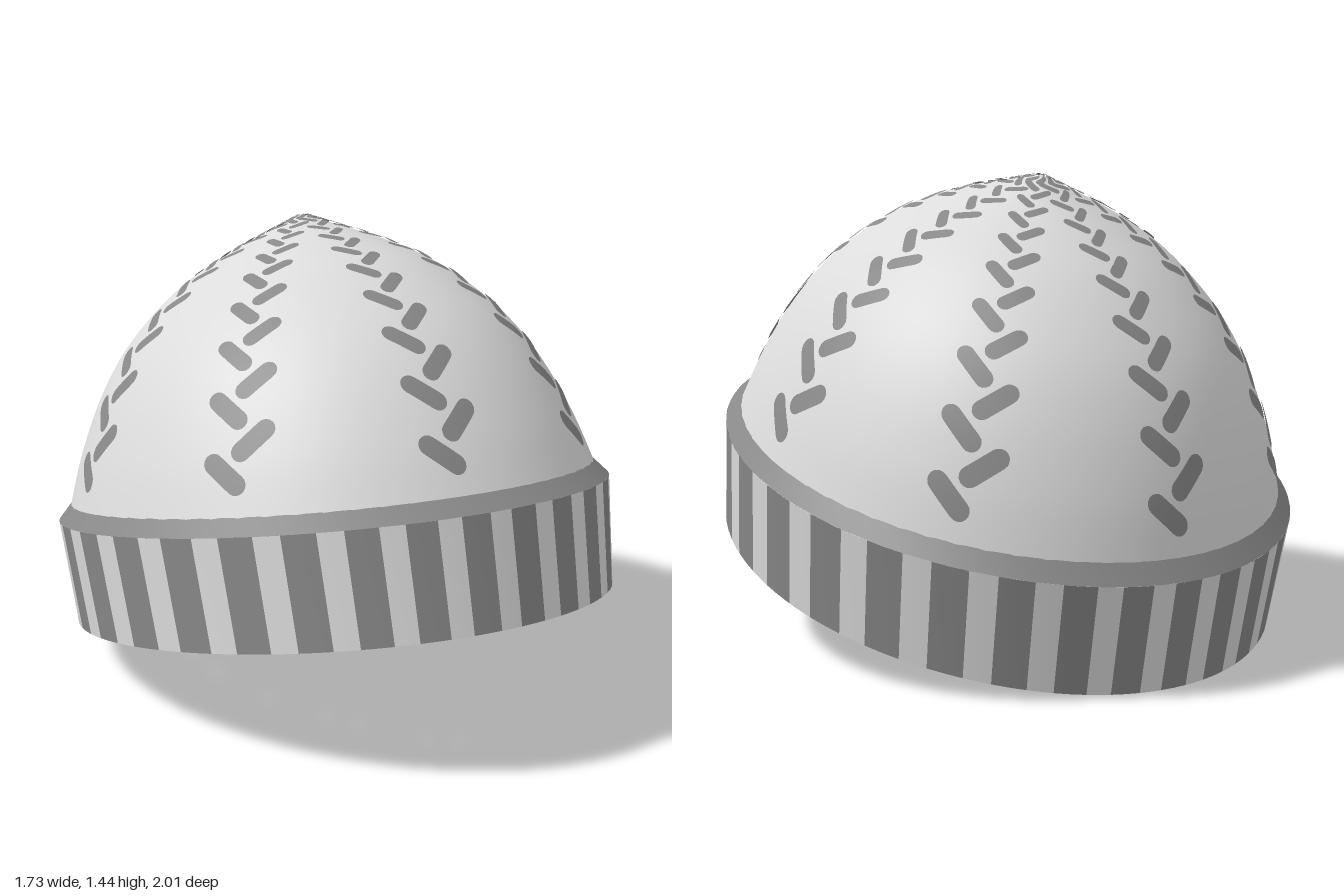
import * as THREE from 'three';
import { mergeGeometries } from 'three/addons/utils/BufferGeometryUtils.js';

const WIDTH = 0.88; // dome width relative to its depth

// Build an indexed grid surface from rows of [x, y, z] points (columns run counter-clockwise)
function grid(rows) {
  const n = rows[0].length, index = [];
  for (let j = 0; j < rows.length - 1; j++) {
    for (let i = 0; i < n - 1; i++) {
      const a = j * n + i, b = a + 1, c = a + n, d = c + 1;
      index.push(a, b, c, b, d, c);
    }
  }
  const g = new THREE.BufferGeometry();
  g.setAttribute('position', new THREE.Float32BufferAttribute(rows.flat(2), 3));
  g.setIndex(index);
  g.computeVertexNormals();
  return g;
}

// Arc of an elliptical ring between two angles (0 = front)
function arc([rx, y, rz], from, to, steps) {
  return Array.from({ length: steps + 1 }, (_, i) => {
    const a = from + (to - from) * i / steps;
    return [rx * Math.sin(a), y, rz * Math.cos(a)];
  });
}

export function createModel() {
  const material = (name, color) => {
    const m = new THREE.MeshStandardMaterial({ color, side: THREE.DoubleSide });
    m.name = name;
    return m;
  };
  const light = material('light wool', 0xdcdcdc);
  const grey = material('grey wool', 0x888888);

  const hat = new THREE.Group();
  hat.name = 'hat';
  const add = (name, geometry, mat) => {
    const m = new THREE.Mesh(geometry, mat);
    m.name = name;
    hat.add(m);
  };

  // Dome: pointed profile, squeezed sideways
  const profile = new THREE.SplineCurve([
    [0.94, 0.37], [0.875, 0.545], [0.775, 0.735], [0.65, 0.892], [0.467, 1.04],
    [0.28, 1.135], [0.13, 1.192], [0, 1.24],
  ].map(p => new THREE.Vector2(...p)));
  const dome = new THREE.LatheGeometry(profile.getSpacedPoints(32), 64);
  dome.scale(WIDTH, 1, 1);
  add('dome', dome, light);

  // Point on the dome at an arc length from its hem, lifted along the normal
  const total = profile.getLength();
  const onDome = (angle, s, lateral, lift) => {
    const t = THREE.MathUtils.clamp(s / total, 0, 1);
    const p = profile.getPointAt(t), d = profile.getTangentAt(t);
    const a = angle + lateral / Math.max(p.x * 0.93, 0.06);
    const r = p.x + d.y * lift;
    return [r * Math.sin(a) * WIDTH, p.y - d.x * lift, r * Math.cos(a)];
  };

  // One rounded stitch laid on the dome
  const samples = [-1, -0.97, -0.88, -0.75, -0.6, -0.3, 0, 0.3, 0.6, 0.75, 0.88, 0.97, 1];
  const stitch = (angle, s, side, k, lift) => {
    const half = 0.08 * k, radius = 0.031 * k, tilt = side * 0.84;
    const sin = Math.sin(tilt), cos = Math.cos(tilt);
    return grid(samples.map(q => {
      const u = q * half, e = Math.max(0, Math.abs(u) - (half - radius));
      const w = Math.sqrt(Math.max(0, radius * radius - e * e));
      return [-w, 0, w].map(v =>
        onDome(angle, s + u * cos - v * sin, side * 0.043 * k + u * sin + v * cos, lift));
    }));
  };

  // Eight seams of paired stitches running up to the tip, shown inside and out
  const stitches = [];
  for (let m = 0; m < 8; m++) {
    let side = -1, s = 0.14;
    while (s < total - 0.03) {
      const k = 0.35 + 0.65 * Math.min(1, profile.getPointAt(s / total).x / 0.87);
      for (const lift of [0.006, -0.006]) stitches.push(stitch(m * Math.PI / 4, s, side, k, lift));
      s += 0.097 * k;
      side = -side;
    }
  }
  add('seamStitches', mergeGeometries(stitches), grey);

  // Cuff wall: alternating ribs, slightly wider at the sides
  const bottom = [0.835, 0, 0.996], top = [0.865, 0.335, 0.987];
  const ribs = 30, darkRibs = [], lightRibs = [];
  const warp = a => a - 0.05 * Math.sin(2 * a);
  const rib = (from, to) => {
    const a = warp(from), b = warp(to);
    return grid([arc(bottom, a, b, 2), arc(top, a, b, 2)]);
  };
  for (let i = 0; i < ribs; i++) {
    const step = Math.PI * 2 / ribs, mid = i * step, h = step * 0.28;
    darkRibs.push(rib(mid - h, mid + h));
    lightRibs.push(rib(mid + h, mid + step - h));
  }
  add('cuffDarkRibs', mergeGeometries(darkRibs), grey);
  add('cuffLightRibs', mergeGeometries(lightRibs), light);

  // Sloping upper edge of the cuff
  const inner = [0.822, 0.385, 0.935];
  add('cuffTopEdge', grid([arc(top, 0, Math.PI * 2, 60), arc(inner, 0, Math.PI * 2, 60)]), grey);

  // Flat underside with an angular opening
  const under = new THREE.Shape();
  under.absellipse(0, 0, bottom[0], bottom[2], 0, Math.PI * 2, false);
  const opening = [[0.52, 0.71], [0.6, -0.29], [0.24, -0.69], [-0.24, -0.69], [-0.6, -0.29], [-0.52, 0.71]];
  under.holes.push(new THREE.Path(opening.map(p => new THREE.Vector2(...p))));
  add('underside', new THREE.ShapeGeometry(under, 60).rotateX(Math.PI / 2), grey);

  // Tip the hat back
  hat.rotation.x = -0.228;
  hat.position.set(0, 0.225, 0.03);
  const model = new THREE.Group();
  model.name = 'knittedHat';
  model.add(hat);
  return model;
}
